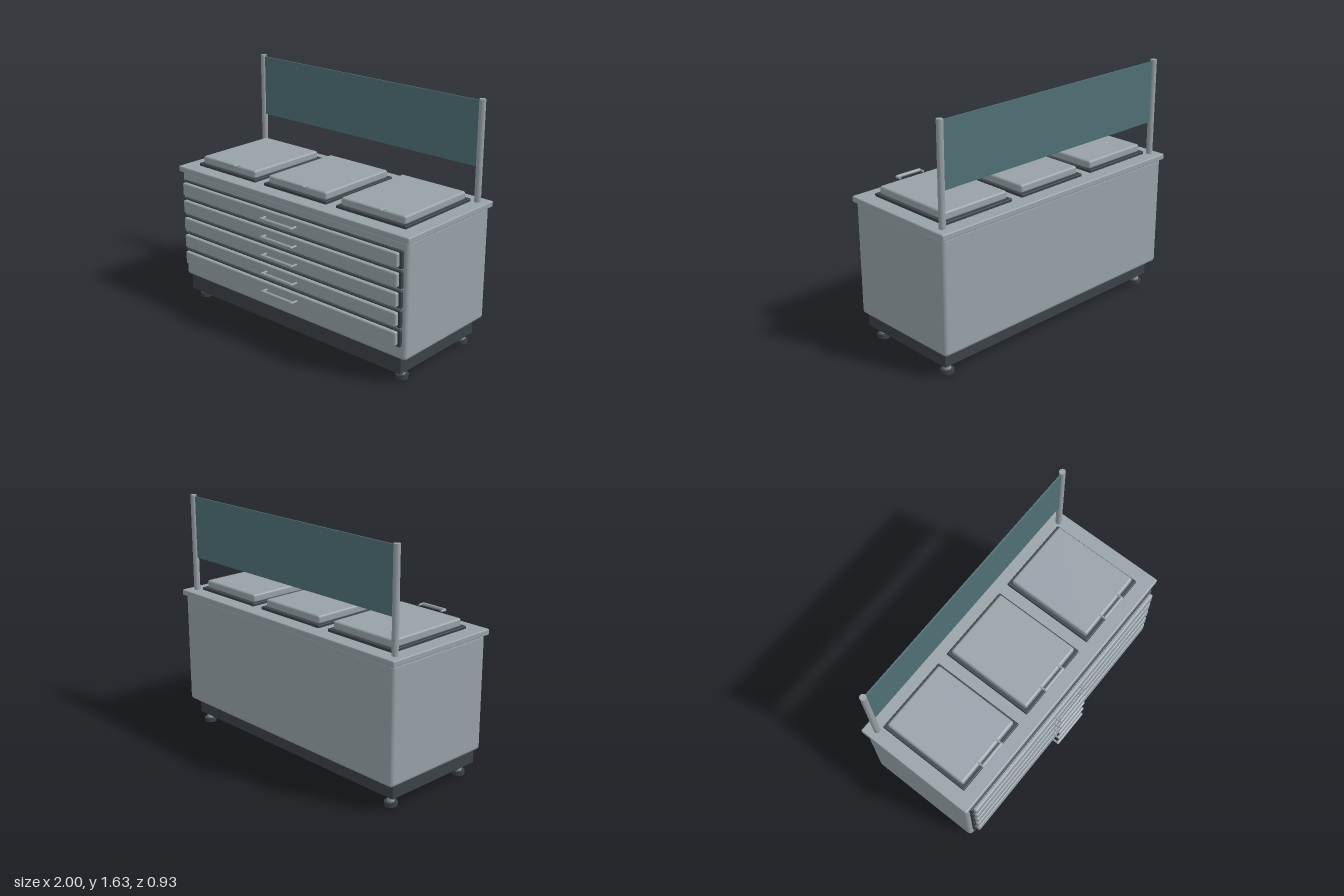
import * as THREE from 'three';
import { RoundedBoxGeometry } from 'three/addons/geometries/RoundedBoxGeometry.js';

const mat = (name, color) => Object.assign(new THREE.MeshStandardMaterial({ color }), { name });

export function createModel() {
  const steel = mat('brushed steel', 0x97a1a7);
  const dark = mat('dark trim', 0x3b4146);
  const glass = mat('teal glass', 0x4f7074);
  const root = new THREE.Group();
  root.name = 'servingCounter';

  const add = (parent, name, geometry, material, x = 0, y = 0, z = 0) => {
    const mesh = new THREE.Mesh(geometry, material);
    mesh.name = name;
    mesh.position.set(x, y, z);
    parent.add(mesh);
    return mesh;
  };
  // Rounded box given by its limits on each axis
  const block = (parent, name, material, [x0, x1], [y0, y1], [z0, z1], r) =>
    add(parent, name, new RoundedBoxGeometry(x1 - x0, y1 - y0, z1 - z0, 3, r), material,
      (x0 + x1) / 2, (y0 + y1) / 2, (z0 + z1) / 2);
  const rod = (r, h) => new THREE.CylinderGeometry(r, r, h, 20);

  // Bar handle on two horizontal standoffs; its origin is where the standoffs start
  const handle = (parent, name, half, reach, x, y, z) => {
    const g = new THREE.Group();
    g.name = name;
    g.position.set(x, y, z);
    add(g, 'handleBar', new THREE.CapsuleGeometry(0.011, half * 2 - 0.022, 4, 14), steel, 0, 0, reach)
      .rotation.z = Math.PI / 2;
    for (const s of [-1, 1]) {
      add(g, 'handleStandoff', rod(0.007, reach), steel, s * (half - 0.008), 0, reach / 2)
        .rotation.x = Math.PI / 2;
    }
    parent.add(g);
  };

  // Cabinet, plinth and worktop
  block(root, 'cabinetBody', steel, [-0.985, 0.985], [0.17, 0.945], [-0.45, 0.37], 0.025);
  block(root, 'plinth', dark, [-0.943, 0.943], [0.065, 0.185], [-0.393, 0.36], 0.006);
  block(root, 'worktop', steel, [-1, 1], [0.937, 0.977], [-0.467, 0.388], 0.008);

  // Levelling feet
  for (const x of [-0.89, 0.89]) for (const z of [-0.35, 0.275]) {
    const foot = new THREE.Group();
    foot.name = 'foot';
    add(foot, 'footPad', rod(0.042, 0.027), dark, x, 0.0135, z);
    add(foot, 'footStem', rod(0.023, 0.05), steel, x, 0.047, z);
    root.add(foot);
  }

  // Five stacked drawers
  for (let i = 0; i < 5; i++) {
    const y = 0.828 - i * 0.1268;
    const drawer = new THREE.Group();
    drawer.name = 'drawer';
    block(drawer, 'drawerGasket', dark, [-0.955, 0.955], [y - 0.056, y + 0.056], [0.355, 0.39], 0.006);
    block(drawer, 'drawerFront', steel, [-0.937, 0.937], [y - 0.046, y + 0.046], [0.375, 0.414], 0.01);
    handle(drawer, 'drawerHandle', 0.142, 0.045, 0, y, 0.412);
    root.add(drawer);
  }

  // Three lidded wells
  for (const x of [-0.626, 0, 0.626]) {
    const well = new THREE.Group();
    well.name = 'well';
    block(well, 'wellRim', dark, [x - 0.272, x + 0.272], [0.97, 0.995], [-0.368, 0.288], 0.005);
    block(well, 'wellLid', steel, [x - 0.252, x + 0.252], [0.99, 1.045], [-0.343, 0.265], 0.014);
    handle(well, 'lidHandle', 0.1, 0.037, x, 1.053, 0.257);
    root.add(well);
  }

  // Posts and glass guard
  for (const x of [-0.935, 0.935]) {
    add(root, 'guardPost', rod(0.021, 0.66), steel, x, 1.305, -0.388);
  }
  add(root, 'guardGlass', new THREE.BoxGeometry(1.85, 0.42, 0.01), glass, 0, 1.415, -0.386);

  return root;
}
